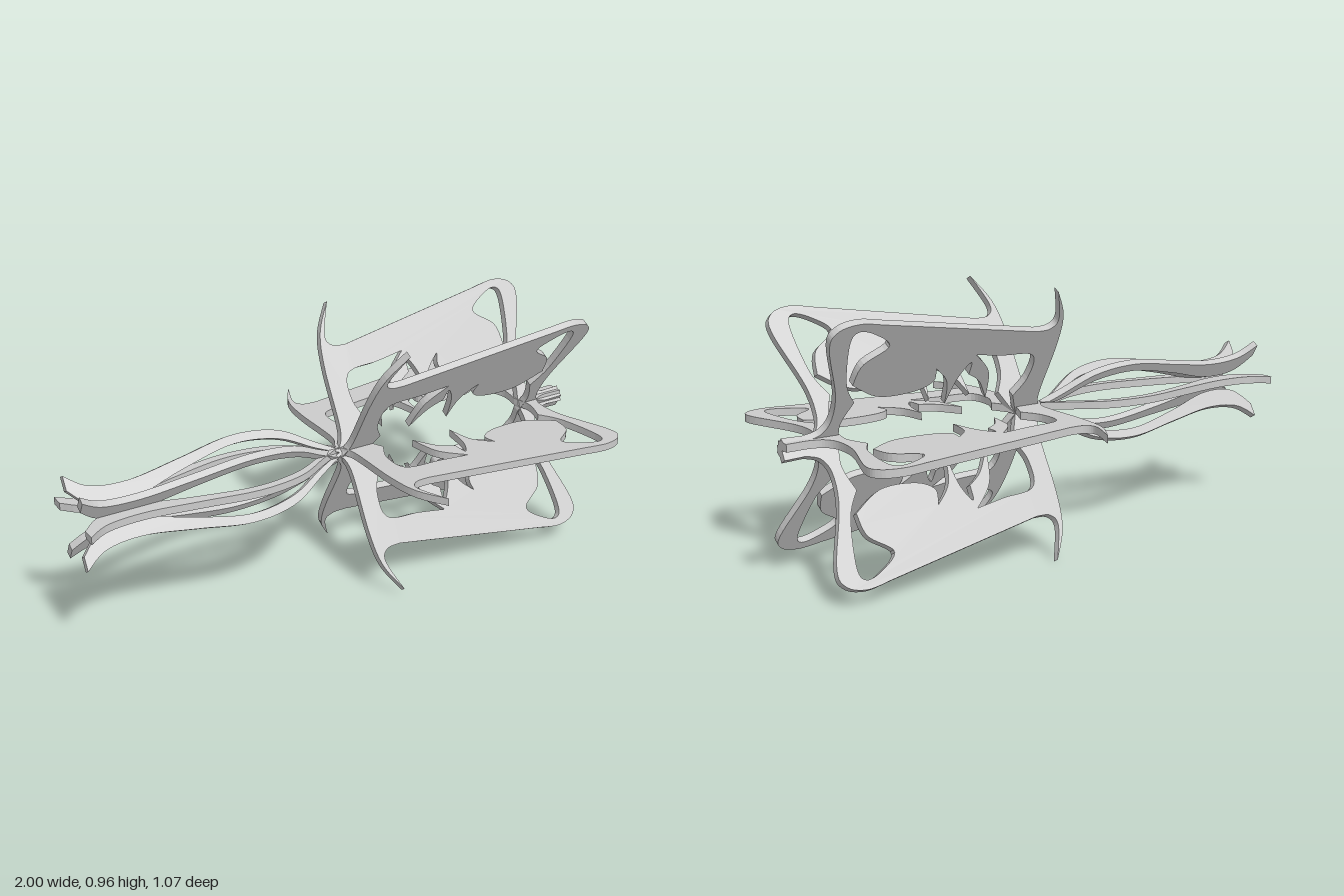
import * as THREE from 'three';

const THICKNESS = 0.027;

// Tail strand: [along axis, out from axis, half width]
const TAIL = [
  [-1, 0.135, 0.025], [-0.92, 0.075, 0.033], [-0.78, 0.065, 0.031], [-0.59, 0.104, 0.02],
  [-0.39, 0.139, 0.016], [-0.22, 0.118, 0.016], [-0.09, 0.05, 0.012], [0, 0.006, 0.006],
];

// Body blade: smooth runs of [along axis, out from axis], with a corner where runs meet
const BODY = [
  [[0, 0]],
  [[0, 0.012]],
  // horn, back then front
  [[0.027, 0.08], [0.03, 0.3], [0.05, 0.43], [0.11, 0.535]],
  [[0.065, 0.42], [0.085, 0.378], [0.14, 0.372]],
  // rim, rounded shoulder and strut
  [[0.75, 0.475]],
  [[0.84, 0.488], [0.91, 0.465], [0.925, 0.4], [0.86, 0.21], [0.85, 0.1], [0.875, 0.045], [0.925, 0.027]],
  // end knob
  [[1, 0.03]], [[1, 0]], [[0.8, 0]],
  // strut barb, then teardrop opening
  [[0.812, 0.08], [0.783, 0.165]],
  [[0.83, 0.25], [0.857, 0.41], [0.835, 0.457], [0.77, 0.437], [0.712, 0.385], [0.79, 0.32], [0.807, 0.24]],
  // lobe, spike and claw
  [[0.7, 0.177], [0.57, 0.176], [0.5, 0.21], [0.505, 0.265]],
  [[0.445, 0.2], [0.425, 0.1]],
  [[0.405, 0.21], [0.37, 0.273], [0.365, 0.22]],
  [[0.31, 0.18], [0.26, 0.1]],
  [[0.285, 0.22], [0.36, 0.302]],
  // window and hook beside the neck
  [[0.25, 0.285], [0.12, 0.268], [0.105, 0.17], [0.142, 0.09]],
  [[0.1, 0]],
];

// Cuts a flat plate from a list of runs, centred on its own thickness
function cutPlate(runs) {
  const shape = new THREE.Shape();
  runs.forEach((run, i) => {
    const pts = run.map(([x, u]) => new THREE.Vector2(x, u));
    if (i === 0) shape.moveTo(pts[0].x, pts[0].y);
    else if (pts.length > 1) shape.splineThru(pts);
    else shape.lineTo(pts[0].x, pts[0].y);
  });
  shape.closePath();
  const geo = new THREE.ExtrudeGeometry(shape, { depth: THICKNESS, bevelEnabled: false, curveSegments: 5 });
  return geo.translate(0, 0, -THICKNESS / 2);
}

// Tail edges are the centre line moved out and in by its half width
function tailRuns() {
  const outer = TAIL.map(([x, u, w]) => [x, u + w]);
  const inner = TAIL.map(([x, u, w]) => [x, u - w]).reverse();
  return [[outer[0]], outer.slice(1), [inner[0]], inner.slice(1)];
}

export function createModel() {
  const model = new THREE.Group();
  model.name = 'slottedLantern';
  const material = new THREE.MeshStandardMaterial({ color: 0xcccccc });
  const parts = { bodyBlade: cutPlate(BODY), tailStrand: cutPlate(tailRuns()) };

  // three crossing plates of two opposite halves each: [angle, centre y, centre z]
  const plates = [[90, 0.493, 0], [30, 0.469, 0.013], [150, 0.485, 0.013]];
  plates.forEach(([angle, y, z], i) => {
    for (const turn of [0, 180]) {
      const half = new THREE.Group();
      half.name = `plate${i + 1}${turn ? 'Opposite' : ''}Half`;
      half.position.set(0, y, z);
      half.rotation.x = THREE.MathUtils.degToRad(angle + turn);
      for (const [name, geometry] of Object.entries(parts)) {
        const mesh = new THREE.Mesh(geometry, material);
        mesh.name = name;
        half.add(mesh);
      }
      model.add(half);
    }
  });
  return model;
}
